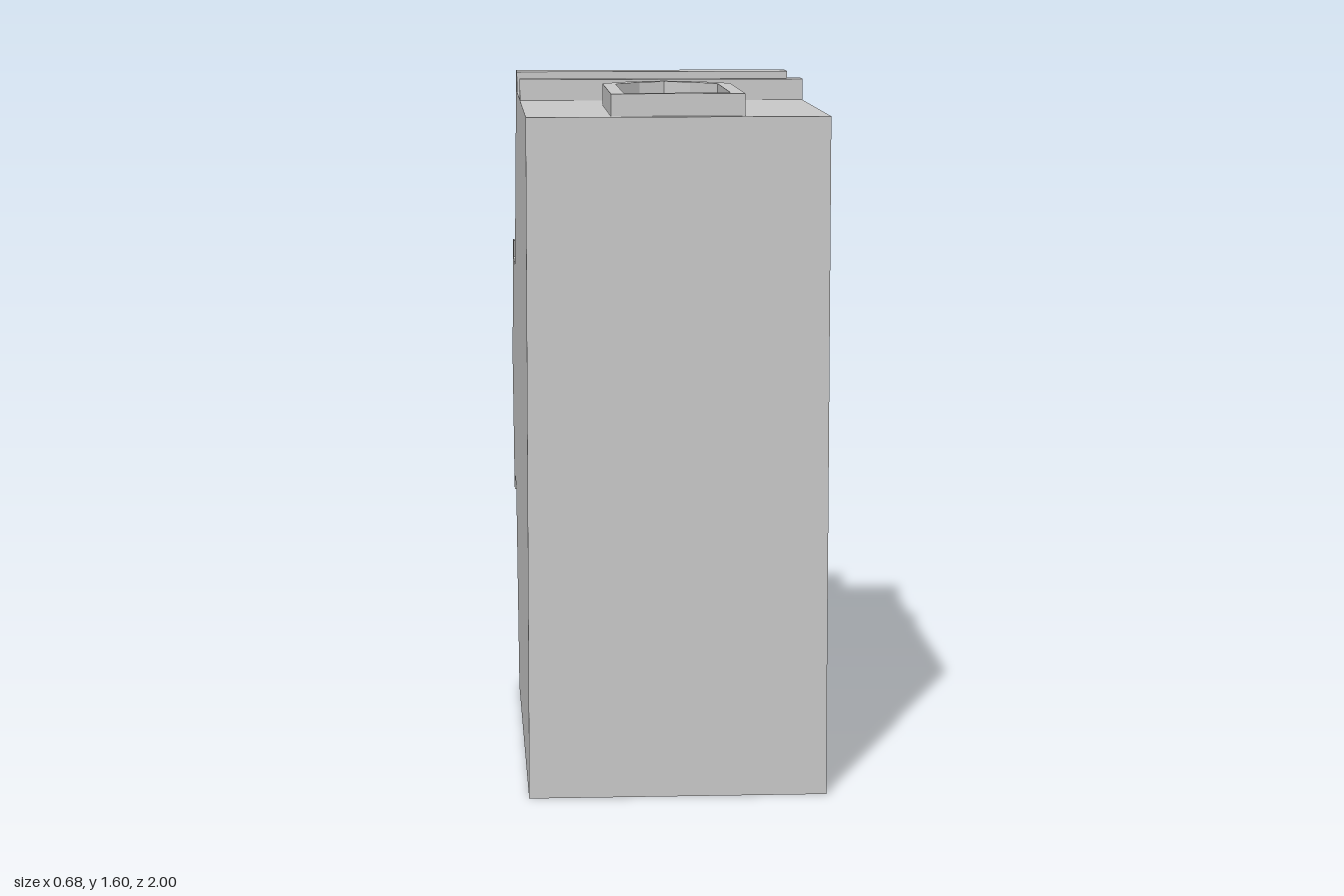
import * as THREE from 'three';

const HALF = 0.34; // half width of the tower
const grey = new THREE.MeshStandardMaterial({ color: 0xc8c8c8, side: THREE.DoubleSide });
grey.name = 'stone grey';

const add = (parent, name, geo) => {
  const mesh = new THREE.Mesh(geo, grey);
  mesh.name = name;
  parent.add(mesh);
  return mesh;
};
const shapeOf = (pts) => new THREE.Shape(pts.map(([u, v]) => new THREE.Vector2(u, v)));
// plan loops are [x, z], counter-clockwise seen from above
const plan = (loop) => shapeOf(loop.map(([x, z]) => [x, -z]));
const rect = (x, z0, z1) => [[-x, z1], [x, z1], [x, z0], [-x, z0]];

function fromTriangles(points) {
  const geo = new THREE.BufferGeometry();
  geo.setAttribute('position', new THREE.Float32BufferAttribute(points.flat(), 3));
  geo.computeVertexNormals();
  return geo;
}

// Side profile as [z, y]; runs from the front foot round the back to the top
const profile = [
  [1, 0], [-0.11, 0], [-0.3, 0.315], [-0.4, 0.48], [-0.62, 0.48], [-0.6, 0.435],
  [-0.645, 0.435], [-0.76, 0.64], [-0.85, 0.775], [-0.76, 0.91], [-0.645, 1.115],
  [-0.6, 1.115], [-0.62, 1.07], [-0.4, 1.07], [-0.3, 1.235], [-0.08, 1.6], [0, 1.6],
  [0, 1.55], [0.32, 1.55], [0.32, 1.6], [0.37, 1.6], [0.37, 1.55], [1, 1.55],
];

const doorway = [[-0.12, 0.94], [0.12, 0.94], [0.12, 0.57], [0.06, 0.495], [0, 0.473],
  [-0.06, 0.495], [-0.12, 0.57]];
const doorOuter = [[-0.15, 0.975], [0.15, 0.975], [0.15, 0.55], [0.08, 0.462], [0, 0.435],
  [-0.08, 0.462], [-0.15, 0.55]];

// Openings, keyed by the profile edge they cut into
const openings = {
  12: { name: 'belfryOpening', loop: rect(0.29, -0.58, -0.455), depth: 0.15 },
  17: { name: 'window', loop: rect(0.105, 0.06, 0.27), depth: 0.2 },
  21: { name: 'doorway', loop: doorway, depth: 0.25 },
};

// Recess walls facing inwards, and its floor
function addRecess(parent, { name, loop, depth }, top) {
  const low = top - depth, tris = [];
  loop.forEach(([ax, az], i) => {
    const [bx, bz] = loop[(i + 1) % loop.length];
    tris.push([ax, low, az], [bx, top, bz], [bx, low, bz], [ax, low, az], [ax, top, az], [bx, top, bz]);
  });
  add(parent, name + 'Walls', fromTriangles(tris));
  add(parent, name + 'Floor',
    new THREE.ShapeGeometry(plan(loop)).rotateX(-Math.PI / 2).translate(0, low, 0));
}

function addBody(parent) {
  const tris = [];
  profile.forEach(([az, ay], i) => {
    const [bz, by] = profile[(i + 1) % profile.length];
    const opening = openings[i];
    if (opening) {
      // flat face with an opening cut through it
      const face = plan(rect(HALF, Math.min(az, bz), Math.max(az, bz)));
      face.holes.push(plan(opening.loop));
      add(parent, opening.name + 'Face',
        new THREE.ShapeGeometry(face).rotateX(-Math.PI / 2).translate(0, ay, 0));
      addRecess(parent, opening, ay);
    } else {
      tris.push([-HALF, ay, az], [-HALF, by, bz], [HALF, by, bz],
        [-HALF, ay, az], [HALF, by, bz], [HALF, ay, az]);
    }
  });
  add(parent, 'towerShell', fromTriangles(tris));
  // side walls
  for (const s of [1, -1]) {
    const geo = new THREE.ShapeGeometry(shapeOf(profile.map(([z, y]) => [-s * z, y])));
    add(parent, s > 0 ? 'leftWall' : 'rightWall',
      geo.rotateY(s * Math.PI / 2).translate(s * HALF, 0, 0));
  }
}

export function createModel() {
  const model = new THREE.Group();
  model.name = 'tower';

  const body = new THREE.Group();
  body.name = 'body';
  addBody(body);
  model.add(body);

  // Raised surround of the doorway
  const surround = plan(doorOuter);
  surround.holes.push(plan(doorway));
  add(model, 'doorFrame', new THREE.ExtrudeGeometry(surround, { depth: 0.05, bevelEnabled: false })
    .rotateX(-Math.PI / 2).translate(0, 1.55, 0));

  // Shutters either side of the window
  for (const s of [1, -1]) {
    add(model, s > 0 ? 'leftShutter' : 'rightShutter', new THREE.BoxGeometry(0.047, 0.027, 0.21))
      .position.set(s * 0.128, 1.5625, 0.165);
  }

  // Finial on the roof ridge
  const finial = shapeOf([[0.83, 0.745], [0.98, 0.745], [1, 0.775], [0.98, 0.805], [0.83, 0.805]]);
  add(model, 'finial', new THREE.ExtrudeGeometry(finial, { depth: 0.05, bevelEnabled: false })
    .rotateY(Math.PI / 2).translate(-0.025, 0, 0));

  return model;
}
